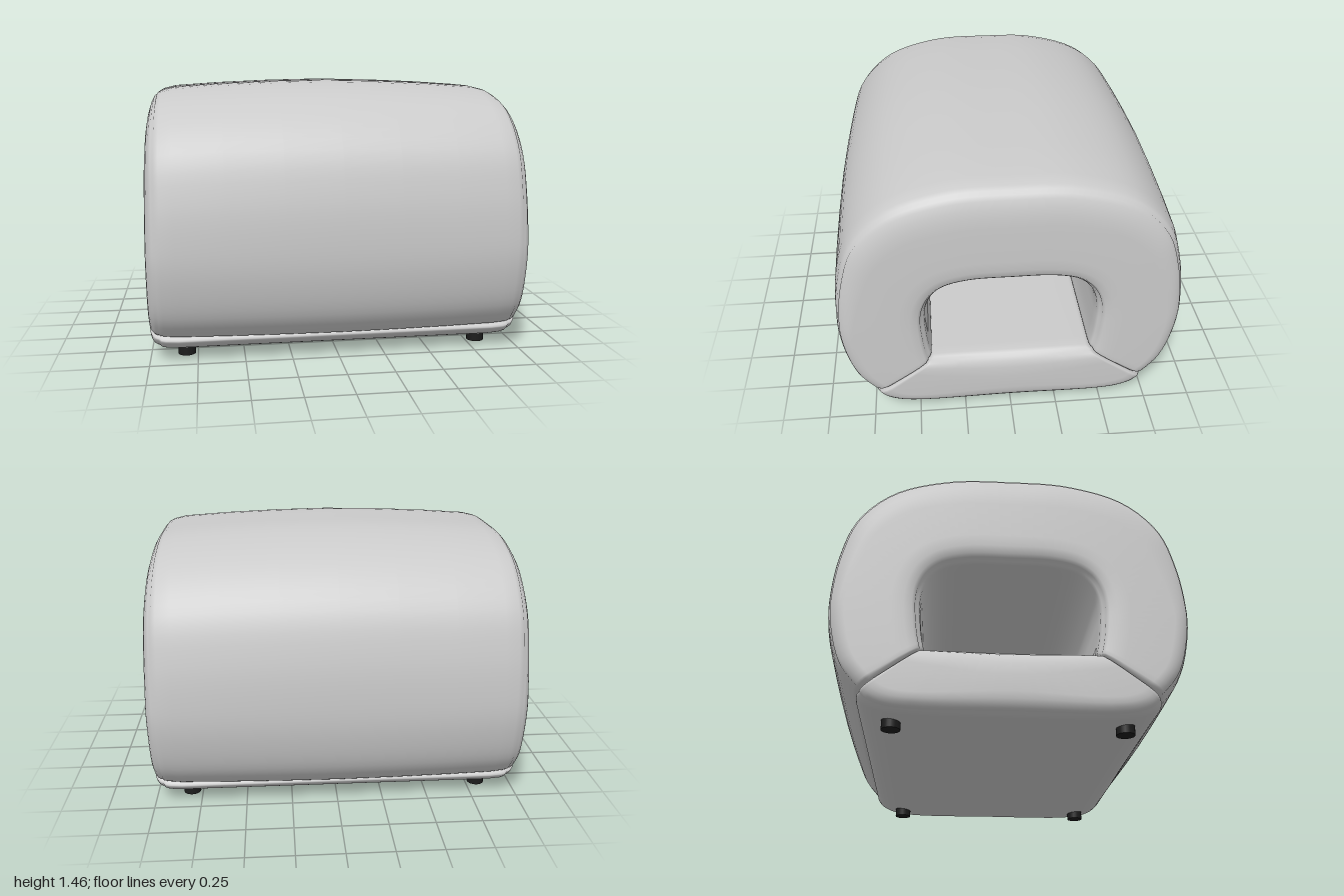
import * as THREE from 'three';

const fabric = new THREE.MeshStandardMaterial({ color: 0xcacaca });
fabric.name = 'light grey fabric';
fabric.side = THREE.DoubleSide;
const rubber = new THREE.MeshStandardMaterial({ color: 0x1c1c1c });
rubber.name = 'black rubber';

// mirror a half path of [z, y] points (last one on z = 0) into a full smooth curve
function mirroredCurve(half) {
  const rest = half.slice(0, -1).reverse().map(([z, y]) => [-z, y]);
  return new THREE.CatmullRomCurve3([...half, ...rest].map(([z, y]) => new THREE.Vector3(0, y, z)));
}

// half section: [x, depth below the inner skin] then [x, depth below the outer skin]
const innerSide = [[0, 0], [0.5, 0], [0.88, 0], [0.935, 0.003], [0.953, 0.012], [0.96, 0.024],
  [0.972, 0.025], [0.988, 0.04], [0.997, 0.08], [1, 0.14]];
const archOuter = [[0.998, 0.25], [0.993, 0.19], [0.985, 0.145], [0.972, 0.105], [0.959, 0.083], [0.95, 0.083],
  [0.943, 0.066], [0.92, 0.053], [0.85, 0.036], [0.6, 0.019], [0.3, 0.006], [0, 0]];
const baseOuter = [[0.998, 0.11], [0.993, 0.075], [0.985, 0.052], [0.972, 0.034], [0.959, 0.026], [0.95, 0.024],
  [0.938, 0.012], [0.915, 0.005], [0.85, 0], [0.6, 0], [0.3, 0], [0, 0]];

// loft a puffy upholstered section between an inner and an outer curve
function cushion(name, outer, inner, outerSide, depthScale, roll, steps) {
  const half = [...innerSide.map(([x, d]) => [x, d, false]), ...outerSide.map(([x, d]) => [x, d, true])];
  const ring = [...half, ...half.slice(1, -1).reverse().map(([x, d, o]) => [-x, d, o])];

  // the ends roll inwards into the seam between the two cushions
  const ends = [[0, 0.03], [roll * 0.2, 0.012], [roll * 0.55, 0.003]];
  const stations = [...ends];
  for (let i = 0; i <= steps; i++) stations.push([roll + (1 - 2 * roll) * i / steps, 0]);
  stations.push(...ends.map(([t, tuck]) => [1 - t, tuck]).reverse());

  const positions = [], index = [];
  const n = ring.length;
  stations.forEach(([t, tuck], i) => {
    const o = outer.getPoint(t), a = inner.getPoint(t);
    const dir = o.clone().sub(a).normalize();
    const k = depthScale(dir);
    ring.forEach(([x, d, isOuter], j) => {
      const p = isOuter
        ? o.clone().addScaledVector(dir, -d * k - tuck)
        : a.clone().addScaledVector(dir, d + tuck);
      const px = Math.sign(x) * Math.max(0, Math.abs(x) - tuck * Math.abs(x));
      positions.push(px, p.y, p.z);
      if (i + 1 < stations.length) {
        const b = i * n + j, c = i * n + (j + 1) % n;
        index.push(b, b + n, c, c, b + n, c + n);
      }
    });
  });
  const g = new THREE.BufferGeometry();
  g.setAttribute('position', new THREE.Float32BufferAttribute(positions, 3));
  g.setIndex(index);
  g.computeVertexNormals();
  const mesh = new THREE.Mesh(g, fabric);
  mesh.name = name;
  return mesh;
}

export function createModel() {
  const model = new THREE.Group();
  model.name = 'tunnelPouf';

  // arch over the tunnel, bulging most at the top
  const archOut = mirroredCurve([[0.745, 0.125], [0.85, 0.26], [0.91, 0.46], [0.925, 0.66], [0.905, 0.9],
    [0.83, 1.14], [0.64, 1.335], [0.33, 1.44], [0, 1.456]]);
  const archIn = mirroredCurve([[0.42, 0.365], [0.435, 0.44], [0.445, 0.53], [0.45, 0.62], [0.44, 0.7],
    [0.405, 0.775], [0.34, 0.83], [0.22, 0.861], [0, 0.866]]);
  model.add(cushion('archCushion', archOut, archIn, archOuter,
    (d) => 0.42 + 0.58 * Math.max(0, d.y), 0.012, 72));

  // base cushion forming the tunnel floor
  const baseOut = mirroredCurve([[-0.745, 0.125], [-0.705, 0.085], [-0.63, 0.052], [-0.5, 0.034], [0, 0.03]]);
  const baseIn = mirroredCurve([[-0.42, 0.365], [-0.38, 0.367], [-0.33, 0.368], [-0.25, 0.368], [0, 0.368]]);
  model.add(cushion('baseCushion', baseOut, baseIn, baseOuter, () => 1, 0.03, 36));

  // four short feet
  const footGeometry = new THREE.CylinderGeometry(0.047, 0.047, 0.05, 24);
  for (const x of [-0.81, 0.81]) {
    for (const z of [-0.57, 0.57]) {
      const foot = new THREE.Mesh(footGeometry, rubber);
      foot.name = 'foot';
      foot.position.set(x, 0.025, z);
      model.add(foot);
    }
  }
  return model;
}
